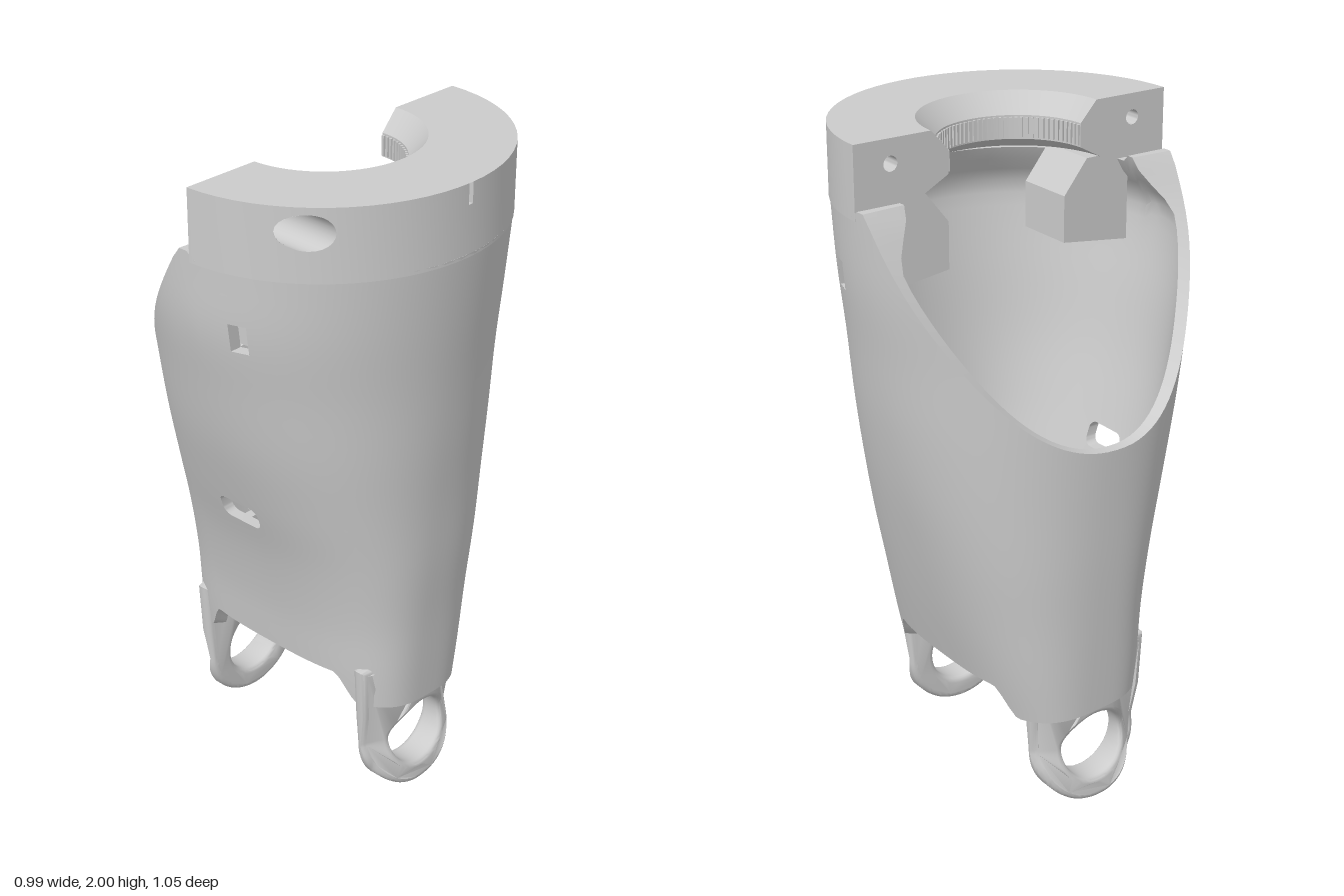
import * as THREE from 'three';
import { toCreasedNormals } from 'three/addons/utils/BufferGeometryUtils.js';

const CX = -0.03;          // centre line of the cross-sections
const AXLE = 0.19, ARCH = 0.345;
const material = new THREE.MeshStandardMaterial({ color: 0xcccccc, side: THREE.DoubleSide });
const { smoothstep } = THREE.MathUtils;

// Cross-section by height: left, right, front, back extents and squareness
const heights = [0.3, 0.42, 0.6, 0.8, 1.0, 1.2, 1.4, 1.6, 1.8];
const extents = [
  -0.455, 0.385, 0.215, 0.25, 3.2, -0.462, 0.39, 0.235, 0.285, 3.0, -0.472, 0.397, 0.26, 0.335, 2.7,
  -0.483, 0.41, 0.305, 0.385, 2.5, -0.492, 0.42, 0.37, 0.43, 2.3, -0.502, 0.435, 0.43, 0.465, 2.15,
  -0.512, 0.45, 0.475, 0.49, 2.05, -0.522, 0.47, 0.515, 0.515, 2, -0.535, 0.49, 0.525, 0.525, 2];
const table = new THREE.CubicInterpolant(heights, extents, 5);

function section(y, inset = 0) {
  const [l, r, f, b, n] = table.evaluate(THREE.MathUtils.clamp(y, 0.3, 1.8));
  return { l: CX - l - inset, r: r - CX - inset, f: f - inset, b: b - inset, n };
}
function wall(angle, y, inset) {
  const s = section(y, inset), c = Math.cos(angle), k = Math.sin(angle);
  const pow = v => Math.sign(v) * Math.abs(v) ** (2 / s.n);
  return new THREE.Vector3(CX + pow(c) * (c > 0 ? s.r : s.l), y, pow(k) * (k > 0 ? s.f : s.b));
}
function wallZ(x, y, inset, side) {
  const s = section(y, inset), q = Math.abs(x - CX) / (x > CX ? s.r : s.l);
  return side * (side > 0 ? s.f : s.b) * Math.max(0, 1 - q ** s.n) ** (1 / s.n);
}
function wallX(z, y, side) {
  const s = section(y), q = Math.abs(z) / (z > 0 ? s.f : s.b);
  return (side > 0 ? s.r : s.l) * Math.max(0, 1 - q ** s.n) ** (1 / s.n);
}
const thickness = y => 0.035 + 0.1 * smoothstep(y, 1.65, 1.82);
const arch = z => AXLE + Math.sqrt(Math.max(0, ARCH * ARCH - z * z));
const cornerDrop = x => 0.1 * smoothstep(Math.abs(x - CX), 0.24, 0.31);

function grid(fn, nu, nv, crease = 0.6) {
  const pos = [], index = [];
  for (let i = 0; i <= nu; i++) for (let j = 0; j <= nv; j++) pos.push(...fn(i, j).toArray());
  for (let i = 0; i < nu; i++) for (let j = 0; j < nv; j++) {
    const a = i * (nv + 1) + j, c = a + nv + 1;
    index.push(a, a + 1, c, c, a + 1, c + 1);
  }
  const g = new THREE.BufferGeometry();
  g.setAttribute('position', new THREE.Float32BufferAttribute(pos, 3));
  g.setIndex(index);
  return toCreasedNormals(g, crease);
}

// Rounded rectangle outline; a circle when all three sizes match
function outline(cx, cy, hw, hh, r, steps = 6) {
  const pts = [];
  [[1, 1], [-1, 1], [-1, -1], [1, -1]].forEach(([sx, sy], q) => {
    for (let i = 0; i <= steps; i++) {
      const a = (q + i / steps) * Math.PI / 2;
      pts.push([cx + sx * (hw - r) + r * Math.cos(a), cy + sy * (hh - r) + r * Math.sin(a)]);
    }
  });
  return pts;
}

// Cuts a convex outline, given on axes U and V, out of a surface
function carve(geo, poly, U, V, test = () => true) {
  const p = geo.attributes.position, n = geo.attributes.normal, out = [];
  const lo = k => Math.min(...poly.map(q => q[k])), hi = k => Math.max(...poly.map(q => q[k]));
  const box = [lo(0), hi(0), lo(1), hi(1)];
  const emit = P => { for (let k = 2; k < P.length; k++) out.push(P[0], P[k - 1], P[k]); };
  for (let t = 0; t < p.count; t += 3) {
    let P = [0, 1, 2].map(k => [p.getX(t + k), p.getY(t + k), p.getZ(t + k), n.getX(t + k), n.getY(t + k), n.getZ(t + k)]);
    const miss = (ax, a, b) => P.every(v => v[ax] < a) || P.every(v => v[ax] > b);
    const mid = [0, 1, 2].map(k => (P[0][k] + P[1][k] + P[2][k]) / 3);
    if (miss(U, box[0], box[1]) || miss(V, box[2], box[3]) || !test(...mid)) { emit(P); continue; }
    for (let e = 0; e < poly.length && P.length > 2; e++) {
      const a = poly[e], b = poly[(e + 1) % poly.length], ins = [], outs = [];
      const dist = v => (b[0] - a[0]) * (v[V] - a[1]) - (b[1] - a[1]) * (v[U] - a[0]);
      P.forEach((v, k) => {
        const w = P[(k + 1) % P.length], d = dist(v), f = dist(w);
        (d >= 0 ? ins : outs).push(v);
        if ((d >= 0) !== (f >= 0)) {
          const m = v.map((c, q) => c + (w[q] - c) * d / (d - f));
          ins.push(m); outs.push(m);
        }
      });
      emit(outs);
      P = ins;
    }
  }
  const g = new THREE.BufferGeometry();
  g.setAttribute('position', new THREE.Float32BufferAttribute(out.flatMap(v => v.slice(0, 3)), 3));
  g.setAttribute('normal', new THREE.Float32BufferAttribute(out.flatMap(v => v.slice(3)), 3));
  return g;
}
const tunnel = (poly, a, b) => grid((i, j) => (j ? b : a)(...poly[i % poly.length]), poly.length, 1);
const vec = (x, y, z) => new THREE.Vector3(x, y, z);

export function createModel() {
  const model = new THREE.Group();
  const add = (name, geo) => {
    const m = new THREE.Mesh(geo, material);
    m.name = name;
    model.add(m);
    return m;
  };

  // Hollow shell with the slanted opening at the top
  const cols = 112, rows = 36;
  let shell = grid((i, j) => {
    const a = i / cols * Math.PI * 2, base = wall(a, 0.42, 0);
    const bottom = 0.42 + 0.08 * base.z - cornerDrop(base.x);
    let top = 1.5;
    for (let k = 0; k < 12; k++) {
      const x = wall(a, top, 0).x;
      top = x > -0.02 ? 1.8 : Math.min(1.82, 1.18 + (x + 0.49) * 1.5);
    }
    const inner = j > rows && j < 2 * rows + 2;
    const f = inner ? (2 * rows + 1 - j) / rows : (j % (2 * rows + 2)) / rows;
    const y = bottom + (top - bottom) * f;
    return wall(a, y, inner ? thickness(y) : 0);
  }, cols, 2 * rows + 2);
  const frontSlot = outline(-0.035, 0.945, 0.075, 0.037, 0.025);
  const window = outline(0.12, 1.6, 0.026, 0.042, 0);
  shell = carve(shell, frontSlot, 0, 1, (x, y, z) => z > 0);
  shell = carve(shell, window, 0, 1);
  add('shell', shell);
  const slotWall = (name, poly, side) => add(name, tunnel(poly,
    (x, y) => vec(x, y, wallZ(x, y, 0, side)), (x, y) => vec(x, y, wallZ(x, y, thickness(y), side))));
  slotWall('frontSlot', frontSlot, 1);

  // Arched floor above the joint, with a long slot
  const floorSlot = outline(-0.26, -0.095, 0.04, 0.13, 0.04);
  const floorPoint = (x, z, top) => vec(x, arch(z) + (top ? 0.03 : -cornerDrop(x)), z);
  for (const top of [0, 1]) {
    const g = grid((i, j) => {
      const p = wall(i / 72 * Math.PI * 2, 0.45, 0.02);
      return floorPoint(CX + (p.x - CX) * j / 24, p.z * j / 24, top);
    }, 72, 24);
    add(top ? 'floorTop' : 'floorUnderside', carve(g, floorSlot, 0, 2));
  }
  add('floorSlot', tunnel(floorSlot, (x, z) => floorPoint(x, z, 0), (x, z) => floorPoint(x, z, 1)));

  // Cross ribs standing on the floor
  for (const x of [-0.2, -0.035, 0.15]) {
    const pts = [[-0.28, 0.78], [0.36, 0.78]];
    for (let k = 0; k <= 12; k++) { const z = -0.265 + k * 0.04; pts.push([-z, arch(z) + 0.012]); }
    const g = new THREE.ExtrudeGeometry(new THREE.Shape(pts.map(q => new THREE.Vector2(...q))), { depth: 0.03, bevelEnabled: false });
    g.rotateY(Math.PI / 2).translate(x - 0.015, 0, 0);
    add('floorRib', g);
  }

  // Two fork legs with round axle holes
  for (const s of [1, -1]) {
    const shape = new THREE.Shape();
    shape.absarc(0, AXLE, AXLE, Math.PI, Math.PI * 2);
    shape.lineTo(0.2, 0.3);
    shape.lineTo(0.21, 0.47);
    for (let k = 1; k < 8; k++) shape.lineTo(0.21 - k * 0.0525, 0.48);
    shape.lineTo(-0.21, 0.47);
    shape.lineTo(-0.2, 0.3);
    shape.holes.push(new THREE.Path().absarc(0, 0.18, 0.108, 0, Math.PI * 2, true));
    const g = new THREE.ExtrudeGeometry(shape, {
      depth: 0.065, bevelThickness: 0.018, bevelSize: 0.018, bevelOffset: -0.018, bevelSegments: 4, curveSegments: 28 });
    const p = g.attributes.position, inner = s > 0 ? 0.305 : 0.31;
    for (let k = 0; k < p.count; k++) {
      const z = -s * p.getX(k), y = p.getY(k), d = p.getZ(k) + 0.018;
      const bend = Math.max(-0.055, wallX(z, y, s) - wallX(0, y, s)) - 0.02 * Math.exp(-(((y - 0.2) / 0.06) ** 2));
      p.setXYZ(k, CX + s * (inner + d + bend * smoothstep(d, 0.02, 0.101)), y, z);
    }
    add(s > 0 ? 'leftLeg' : 'rightLeg', toCreasedNormals(g, 0.7));
  }

  // Half-ring collar with screw pockets and an index notch
  const profile = [[0.525, 1.79], [0.525, 2], [0.28, 2], [0.225, 1.94], [0.225, 1.87], [0.3, 1.83], [0.525, 1.79]]
    .map(q => new THREE.Vector2(...q));
  let collar = new THREE.LatheGeometry(profile, 32, 0, Math.PI);
  collar.scale(0.971, 1, 1).translate(-0.02, 0, 0);
  collar = toCreasedNormals(collar, 0.4);
  const collarX = z => -0.02 + 0.971 * Math.sqrt(0.525 ** 2 - z * z);
  const notch = outline(0, 1.97, 0.008, 0.03, 0);
  collar = carve(collar, notch, 2, 1, x => x > 0.46);
  for (const s of [1, -1]) {
    const pocket = outline(s * 0.41, 1.93, 0.05, 0.05, 0.05), bore = outline(s * 0.41, 1.93, 0.022, 0.022, 0.022);
    collar = carve(collar, pocket, 2, 1, x => x > 0.1);
    add('screwPocket', tunnel(pocket, (z, y) => vec(collarX(z), y, z), (z, y) => vec(0.14, y, z)));
    add('screwBore', tunnel(bore, (z, y) => vec(0.14, y, z), (z, y) => vec(-0.02, y, z)));
    const seat = new THREE.RingGeometry(0.022, 0.05, 24);
    add('screwSeat', seat.rotateY(Math.PI / 2).translate(0.14, 1.93, s * 0.41));

    const end = new THREE.Shape(profile.slice(0, -1));
    end.holes.push(new THREE.Path().absarc(0.41, 1.93, 0.022, 0, Math.PI * 2, true));
    const cap = new THREE.ShapeGeometry(end, 16);
    add('collarEnd', cap.rotateY(-s * Math.PI / 2).translate(-0.02, 0, 0));

    // Window in the wall and the bracket behind it
    slotWall('windowWall', window, s);
    const block = new THREE.Shape([[0.2, 1.58], [0.43, 1.55], [0.43, 1.82], [0.28, 1.82], [0.2, 1.72]]
      .map(q => new THREE.Vector2(-s * q[0], q[1])));
    const bracket = new THREE.ExtrudeGeometry(block, { depth: 0.19, bevelEnabled: false });
    add('bracket', bracket.rotateY(Math.PI / 2).translate(0.02, 0, 0));
  }
  add('collar', collar);
  add('notch', tunnel(notch, (z, y) => vec(collarX(z), y, z), (z, y) => vec(0.455, y, z)));
  add('notchFloor', new THREE.PlaneGeometry(0.016, 0.06).rotateY(Math.PI / 2).translate(0.456, 1.97, 0));

  // Fine teeth around the inside of the collar
  for (let k = 0; k < 44; k++) {
    const a = (k + 0.5) / 44 * Math.PI;
    const tooth = add('collarTooth', new THREE.BoxGeometry(0.008, 0.06, 0.012));
    tooth.position.set(-0.02 + 0.218 * Math.sin(a), 1.905, 0.224 * Math.cos(a));
    tooth.rotation.y = a;
  }
  return model;
}
